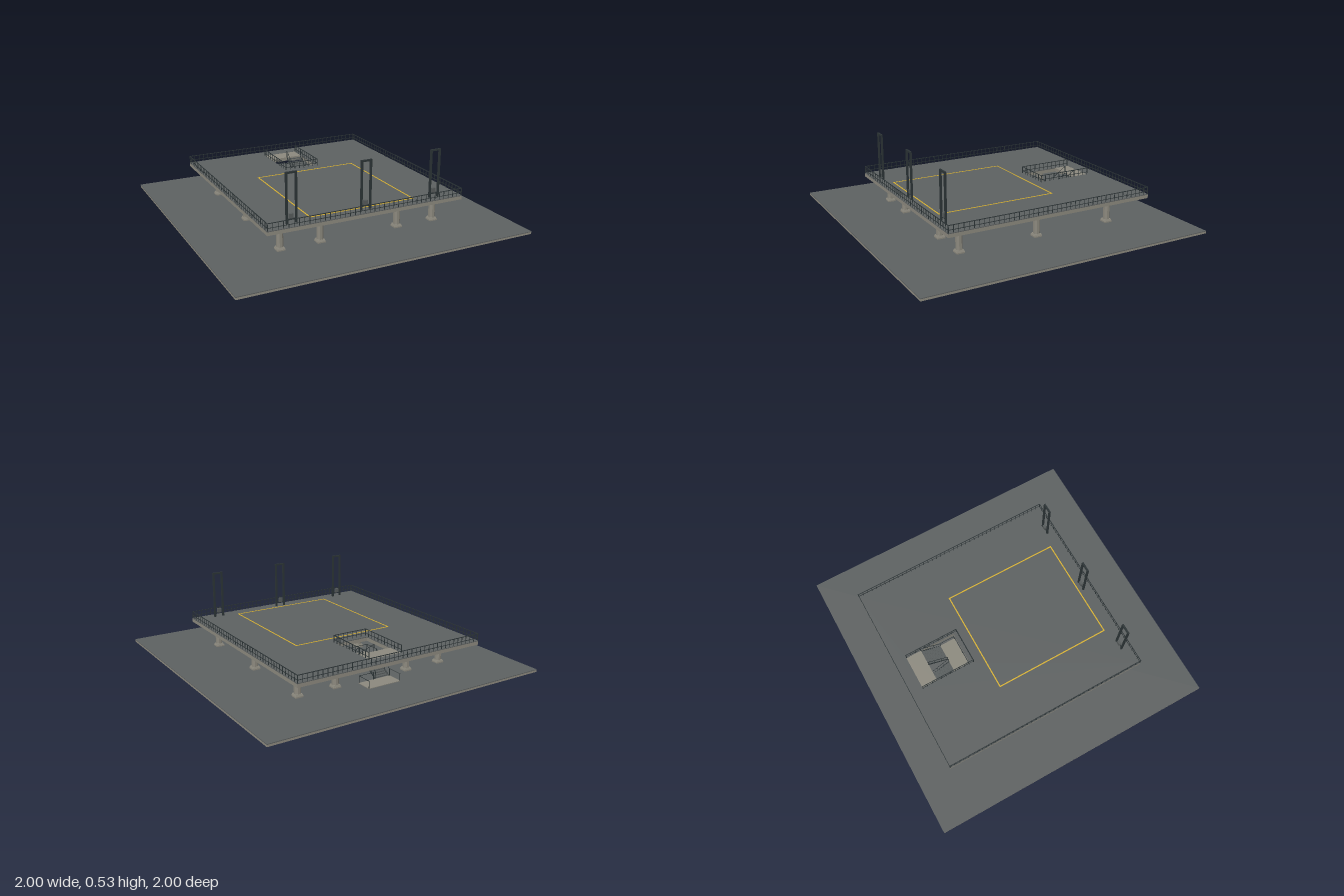
import * as THREE from 'three';

const mat = (name, color) => {
  const m = new THREE.MeshStandardMaterial({ color });
  m.name = name;
  return m;
};

export function createModel() {
  const root = new THREE.Group();
  root.name = 'raisedDeck';
  const concrete = mat('concrete', 0x8b887d);
  const asphalt = mat('asphalt', 0x5c6060);
  const steel = mat('dark steel', 0x2b3335);
  const tread = mat('tread grey', 0x555a5a);
  const yellow = mat('line yellow', 0xd6b032);

  const group = (name, parent = root) => {
    const g = new THREE.Group();
    g.name = name;
    parent.add(g);
    return g;
  };
  const add = (parent, name, geo, material, x = 0, y = 0, z = 0) => {
    const m = new THREE.Mesh(geo, material);
    m.name = name;
    m.position.set(x, y, z);
    parent.add(m);
    return m;
  };
  // Box given by its low and high corners
  const span = (parent, name, material, x0, x1, y0, y1, z0, z1) =>
    add(parent, name, new THREE.BoxGeometry(x1 - x0, y1 - y0, z1 - z0), material,
      (x0 + x1) / 2, (y0 + y1) / 2, (z0 + z1) / 2);
  // Square bar between two points
  const bar = (parent, name, a, b, t, material = steel) => {
    const m = add(parent, name, new THREE.BoxGeometry(t, t, a.distanceTo(b) + t), material);
    m.position.copy(a).add(b).multiplyScalar(0.5);
    m.lookAt(b);
    return m;
  };
  // Railing along a path of floor points: top bar, lower bar and posts
  const railing = (name, pts, { height = 0.047, t = 0.003, step = 0.034, low = 0.018 } = {}) => {
    const g = group(name);
    const v = pts.map((p) => new THREE.Vector3(...p));
    for (let i = 0; i + 1 < v.length; i++) {
      const up = (p, h) => p.clone().setY(p.y + h);
      bar(g, 'topRail', up(v[i], height), up(v[i + 1], height), t * 1.3);
      if (low) bar(g, 'lowerRail', up(v[i], low), up(v[i + 1], low), t);
      const n = Math.max(1, Math.round(v[i].distanceTo(v[i + 1]) / step));
      for (let k = 0; k <= n; k++) {
        if (k === 0 && i > 0) continue;
        const p = v[i].clone().lerp(v[i + 1], k / n);
        const w = k === 0 || k === n ? t * 1.6 : t;
        add(g, 'post', new THREE.BoxGeometry(w, height, w), steel, p.x, p.y + height / 2, p.z);
      }
    }
    return g;
  };

  // Ground slab
  const ground = group('ground');
  span(ground, 'groundSlab', concrete, -1, 1, 0, 0.013, -1, 1);
  span(ground, 'groundPaving', asphalt, -1, 1, 0.013, 0.018, -1, 1);

  // Deck with the stairwell opening
  const deck = group('deck');
  const rect = (P, x0, x1, z0, z1) => {
    const p = new P();
    p.moveTo(x0, -z1).lineTo(x1, -z1).lineTo(x1, -z0).lineTo(x0, -z0).closePath();
    return p;
  };
  const slab = (name, material, y0, y1) => {
    const s = rect(THREE.Shape, -0.68, 0.68, -0.775, 0.68);
    s.holes.push(rect(THREE.Path, -0.12, 0.12, -0.685, -0.325));
    const g = new THREE.ExtrudeGeometry(s, { depth: y1 - y0, bevelEnabled: false });
    g.rotateX(-Math.PI / 2);
    add(deck, name, g, material, 0, y0, 0);
  };
  slab('deckSlab', concrete, 0.182, 0.205);
  slab('deckPaving', asphalt, 0.205, 0.21);

  // Columns on flared footings
  const shaftGeo = new THREE.CylinderGeometry(0.022, 0.022, 0.145, 8).rotateY(Math.PI / 8).toNonIndexed();
  shaftGeo.computeVertexNormals();
  const footGeo = new THREE.CylinderGeometry(0.031, 0.038, 0.013, 4).rotateY(Math.PI / 4).toNonIndexed();
  footGeo.computeVertexNormals();
  const columns = group('columns');
  for (const x of [-0.545, -0.275, 0.275, 0.545]) {
    for (const z of [-0.545, 0, 0.545]) {
      const c = group('column', columns);
      c.position.set(x, 0, z);
      add(c, 'shaft', shaftGeo, concrete, 0, 0.11, 0);
      add(c, 'footing', footGeo, concrete, 0, 0.032, 0);
      span(c, 'footingBase', concrete, -0.027, 0.027, 0.017, 0.026, -0.027, 0.027);
    }
  }

  // Painted rectangle
  const paint = group('courtLine');
  for (const s of [-1, 1]) {
    span(paint, 'sideLine', yellow, s * 0.363 - 0.004, s * 0.363 + 0.004, 0.208, 0.212, -0.232, 0.592);
    const z = 0.18 + s * 0.408;
    span(paint, 'endLine', yellow, -0.359, 0.359, 0.208, 0.212, z - 0.004, z + 0.004);
  }

  // Tall frames, each with a small control box
  for (const x of [-0.5, 0, 0.5]) {
    const f = group('frame');
    f.position.set(x, 0, 0.622);
    for (const s of [-1, 1]) {
      span(f, 'upright', steel, s * 0.031 - 0.006, s * 0.031 + 0.006, 0.21, 0.53, -0.006, 0.006);
    }
    span(f, 'crossbar', steel, -0.037, 0.037, 0.519, 0.53, -0.006, 0.006);
    span(f, 'controlBox', tread, -0.013, 0.013, 0.24, 0.269, -0.014, 0.003);
    span(f, 'boxSupport', steel, -0.031, 0.031, 0.235, 0.24, -0.006, 0.002);
  }

  // Stair landings
  const stairs = group('stairs');
  span(stairs, 'groundLanding', concrete, -0.12, 0.12, 0.016, 0.022, -0.685, -0.575);
  span(stairs, 'middleLanding', concrete, -0.12, 0.12, 0.104, 0.112, -0.435, -0.325);
  span(stairs, 'upperLanding', concrete, -0.12, 0.12, 0.184, 0.209, -0.685, -0.575);

  // Two flights of open treads with stringers
  const flight = (name, x0, x1, zA, yA, zB, yB) => {
    const g = group(name, stairs);
    const n = 9;
    const dz = Math.abs(zB - zA) / n;
    for (let i = 0; i < n; i++) {
      const t = (i + 0.5) / n;
      const z = zA + (zB - zA) * t;
      const y = yA + (yB - yA) * ((i + 1) / (n + 1));
      span(g, 'tread', tread, x0, x1, y - 0.006, y, z - dz * 0.42, z + dz * 0.42);
    }
    for (const x of [x0, x1]) {
      bar(g, 'stringer', new THREE.Vector3(x, yA - 0.004, zA), new THREE.Vector3(x, yB - 0.006, zB), 0.006);
    }
  };
  flight('lowerFlight', -0.117, -0.01, -0.575, 0.022, -0.435, 0.112);
  flight('upperFlight', 0.01, 0.117, -0.435, 0.112, -0.575, 0.209);

  // Stair handrails
  const thin = { t: 0.002, step: 0.06, low: 0 };
  for (const x of [-0.117, -0.008]) {
    railing('lowerHandrail', [[x, 0.022, -0.575], [x, 0.112, -0.435]], thin);
  }
  for (const x of [0.008, 0.117]) {
    railing('upperHandrail', [[x, 0.112, -0.435], [x, 0.209, -0.575]], thin);
  }
  railing('middleLandingRail', [[-0.118, 0.112, -0.435], [-0.118, 0.112, -0.327],
    [0.118, 0.112, -0.327], [0.118, 0.112, -0.435]], { ...thin, step: 0.12 });
  railing('groundLandingRail', [[0.118, 0.022, -0.683], [0.118, 0.022, -0.577],
    [0.008, 0.022, -0.577]], { ...thin, step: 0.12 });
  railing('groundSideRail', [[-0.118, 0.022, -0.683], [-0.118, 0.022, -0.577]], { ...thin, step: 0.12 });

  // Guard around the stairwell and around the deck edge
  railing('stairwellGuard', [[-0.124, 0.21, -0.683], [-0.124, 0.21, -0.3],
    [0.124, 0.21, -0.3], [0.124, 0.21, -0.683]]);
  railing('edgeGuard', [[-0.677, 0.21, -0.772], [-0.677, 0.21, 0.677], [0.677, 0.21, 0.677],
    [0.677, 0.21, -0.772], [-0.677, 0.21, -0.772]]);

  return root;
}
